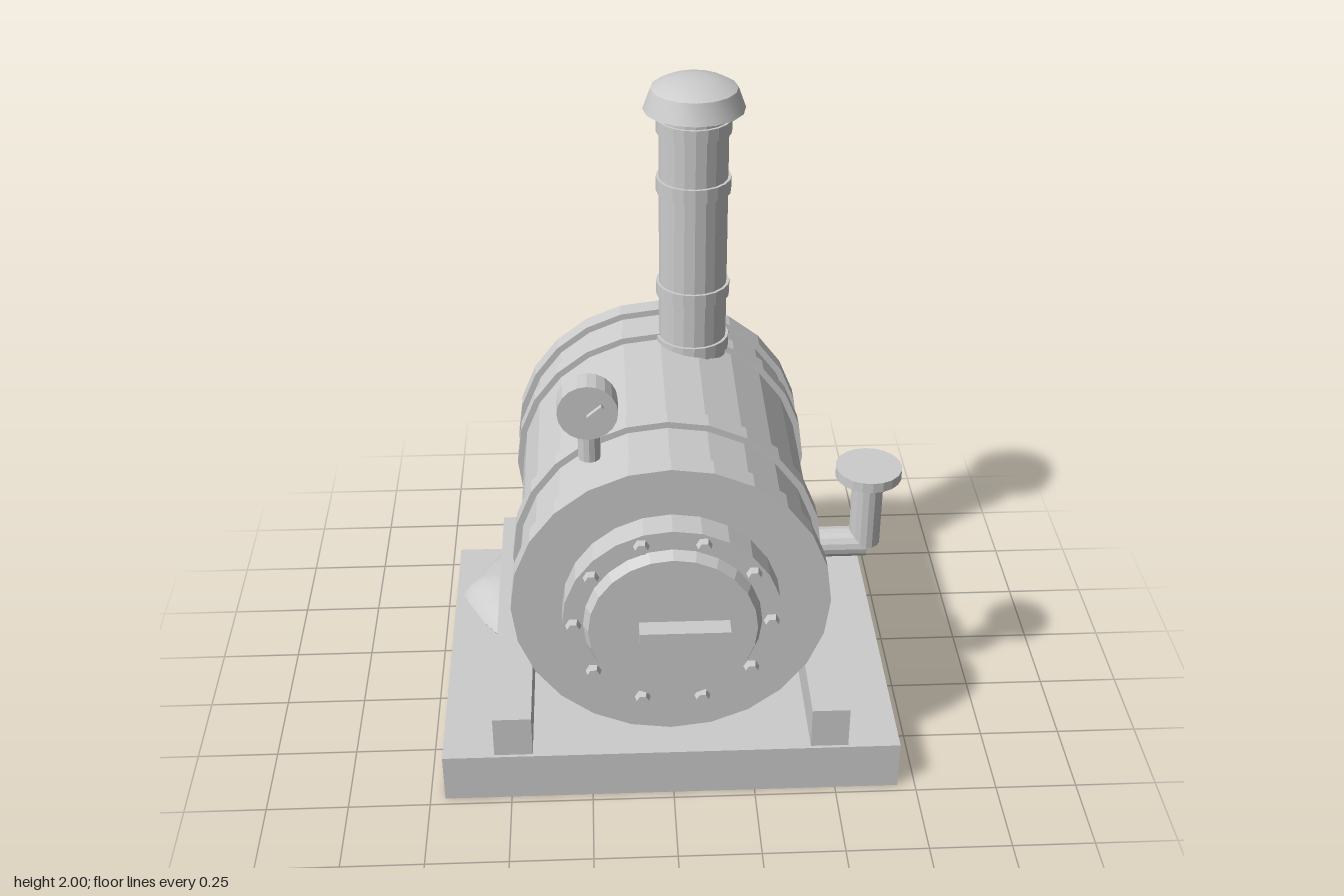
import * as THREE from 'three';
import { toCreasedNormals } from 'three/addons/utils/BufferGeometryUtils.js';

const FLAT = 0.1, SMOOTH = 0.75;

export function createModel() {
  const model = new THREE.Group();
  model.name = 'boiler';
  const grey = new THREE.MeshStandardMaterial({ color: 0xcccccc });
  grey.name = 'grey metal';

  function add(name, geo, x, y, z, crease = FLAT) {
    const mesh = new THREE.Mesh(toCreasedNormals(geo, crease), grey);
    mesh.name = name;
    mesh.position.set(x, y, z);
    model.add(mesh);
    return mesh;
  }
  // box given by its limits
  const box = (name, x0, x1, y0, y1, z0, z1) =>
    add(name, new THREE.BoxGeometry(x1 - x0, y1 - y0, z1 - z0), (x0 + x1) / 2, (y0 + y1) / 2, (z0 + z1) / 2);
  // upright cylinder between two heights
  const post = (name, x, z, r, y0, y1, sides = 20) =>
    add(name, new THREE.CylinderGeometry(r, r, y1 - y0, sides), x, (y0 + y1) / 2, z);
  // cylinder along z, with separate back and front radii
  const drum = (name, x, y, rBack, rFront, z0, z1, sides = 24) => {
    const geo = new THREE.CylinderGeometry(rFront, rBack, z1 - z0, sides, 1, false, Math.PI / 2);
    geo.rotateX(Math.PI / 2);
    return add(name, geo, x, y, (z0 + z1) / 2);
  };

  // base and rails
  box('base', -0.705, 0.695, 0, 0.162, -0.615, 0.475);
  box('rightRail', -0.547, -0.43, 0.162, 0.3, -0.61, 0.465);
  box('leftRail', 0.42, 0.535, 0.162, 0.3, -0.61, 0.465);

  // barrel with bands
  const cx = -0.007, cy = 0.695;
  drum('barrel', cx, cy, 0.447, 0.447, -0.57, 0.42);
  for (const [z0, z1] of [[-0.577, -0.515], [-0.41, -0.353], [0.12, 0.18], [0.367, 0.435]])
    drum('barrelBand', cx, cy, 0.467, 0.467, z0, z1);

  // front door, handle and bolts
  drum('doorFrame', cx, cy, 0.318, 0.318, 0.42, 0.52);
  drum('door', cx, cy, 0.26, 0.243, 0.515, 0.554);
  box('doorHandle', -0.105, 0.155, 0.67, 0.725, 0.54, 0.611);
  for (let i = 0; i < 10; i++) {
    const a = i * Math.PI / 5;
    drum('doorBolt', cx + 0.285 * Math.cos(a), cy + 0.285 * Math.sin(a), 0.024, 0.018, 0.518, 0.541, 6);
  }

  // chimney with bands and cap
  const sx = 0.095, sz = -0.37;
  post('chimney', sx, sz, 0.105, 1.08, 1.93);
  for (const [y0, y1] of [[1.115, 1.157], [1.3, 1.342], [1.645, 1.69], [1.835, 1.877]])
    post('chimneyBand', sx, sz, 0.114, y0, y1);
  const cap = [[0.1, 1.925], [0.14, 1.915], [0.153, 1.905], [0.13, 1.968], [0.095, 1.987], [0.05, 1.998], [0, 2]];
  add('chimneyCap', new THREE.LatheGeometry(cap.map(p => new THREE.Vector2(...p)), 16), sx, 0, sz, 0.4);

  // pressure gauge
  post('gaugeStem', -0.235, 0.26, 0.032, 1.1, 1.285, 12);
  drum('gaugeDial', -0.237, 1.285, 0.086, 0.086, 0.25, 0.327, 20);
  const needle = add('gaugeNeedle', new THREE.BoxGeometry(0.055, 0.012, 0.02), -0.215, 1.293, 0.332);
  needle.rotation.z = 0.7;

  // side pipe with cap
  const pipe = new THREE.CylinderGeometry(0.047, 0.047, 0.205, 16);
  pipe.rotateZ(Math.PI / 2);
  add('sidePipe', pipe, 0.5025, 0.668, 0.1);
  post('risingPipe', 0.603, 0.1, 0.048, 0.672, 0.92, 16);
  post('pipeCap', 0.603, 0.1, 0.1, 0.91, 0.942);

  // pointed mound beside the right rail: a lathe squeezed to a diamond plan
  const mound = [[0, 0.163], [0.88, 0.165], [1, 0.195], [0.85, 0.225], [0.6, 0.25], [0.3, 0.264], [0, 0.268]];
  const moundGeo = new THREE.LatheGeometry(mound.map(p => new THREE.Vector2(...p)), 12);
  const p = moundGeo.attributes.position;
  for (let i = 0; i < p.count; i++) {
    const x = p.getX(i), z = p.getZ(i), r = Math.hypot(x, z);
    const c = r > 1e-6 ? Math.min(1, Math.abs(x) / r) : 0;
    p.setX(i, x * 0.16);
    p.setZ(i, Math.sign(z) * r * 0.275 * (1 - c ** 1.3));
  }
  add('mound', moundGeo, -0.52, 0, -0.31, SMOOTH);

  return model;
}
